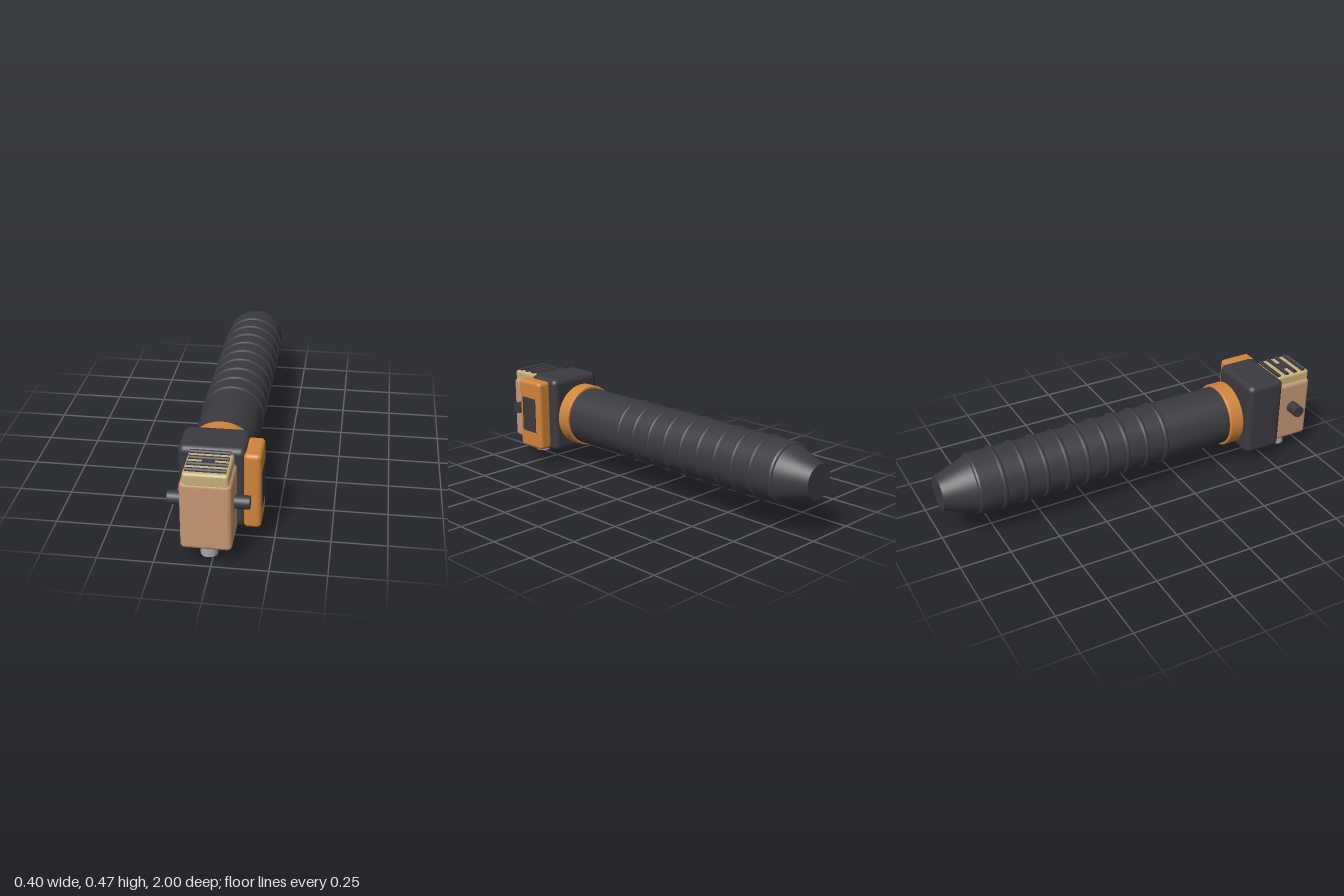
import * as THREE from 'three';
import { RoundedBoxGeometry } from 'three/addons/geometries/RoundedBoxGeometry.js';
import { toCreasedNormals } from 'three/addons/utils/BufferGeometryUtils.js';

const CX = -0.021, CY = 0.273; // common axis of the tool

export function createModel() {
  const group = new THREE.Group();
  const mat = (name, color) => {
    const m = new THREE.MeshStandardMaterial({ color });
    m.name = name;
    return m;
  };
  const dark = mat('charcoal', 0x3b3a3f);
  const orange = mat('orange', 0xd1843a);
  const tan = mat('tan', 0xc69873);
  const sand = mat('sand', 0xc6b078);
  const grey = mat('grey', 0xa6a6a8);

  const add = (name, geometry, material, x, y, z) => {
    const mesh = new THREE.Mesh(geometry, material);
    mesh.name = name;
    mesh.position.set(x, y, z);
    group.add(mesh);
    return mesh;
  };
  // Rounded block given by its min and max corners
  const block = (name, material, [x0, y0, z0], [x1, y1, z1], r) =>
    add(name, new RoundedBoxGeometry(x1 - x0, y1 - y0, z1 - z0, 4, r), material,
      (x0 + x1) / 2, (y0 + y1) / 2, (z0 + z1) / 2);
  // Solid of revolution along z from [radius, z] points, ordered back to front
  const turned = (name, material, points) => {
    const lathe = new THREE.LatheGeometry(points.map(([r, z]) => new THREE.Vector2(r, z)), 48);
    lathe.rotateX(Math.PI / 2);
    return add(name, toCreasedNormals(lathe, 0.4), material, CX, CY, 0);
  };

  // Handle with tapered end
  turned('handle', dark, [[0, -1], [0.082, -1], [0.136, -0.847], [0.143, -0.843],
    [0.147, -0.834], [0.147, 0.5], [0, 0.5]]);

  // Grip rings
  for (let i = 0; i < 9; i++) {
    add('gripRing', new THREE.TorusGeometry(0.142, 0.013, 10, 48), dark, CX, CY, 0.126 - i * 0.1058);
  }

  // Collar at the front of the handle
  turned('collar', orange, [[0, 0.492], [0.155, 0.492], [0.16, 0.497],
    [0.16, 0.563], [0.155, 0.568], [0, 0.568]]);

  // Main housing and side panel with its inset screen
  block('housing', dark, [-0.17, 0.075, 0.604], [0.128, 0.469, 0.805], 0.03);
  block('sidePanel', orange, [0.117, 0.088, 0.65], [0.195, 0.456, 0.82], 0.02);
  add('screen', new THREE.BoxGeometry(0.006, 0.185, 0.104), dark, 0.194, 0.272, 0.739);

  // Front head and its cap
  block('head', tan, [-0.132, 0.081, 0.803], [0.091, 0.41, 1], 0.022);
  block('headCap', sand, [-0.118, 0.39, 0.806], [0.079, 0.455, 0.997], 0.014);

  // Ribs across the cap, with a small button between them
  for (let i = 0; i < 4; i++) {
    const rib = add('capRib', new THREE.CylinderGeometry(0.01, 0.01, 0.174, 16), dark,
      CX, 0.458, 0.818 + i * 0.0495);
    rib.rotation.z = Math.PI / 2;
  }
  add('capButton', new THREE.BoxGeometry(0.054, 0.008, 0.04), dark, CX, 0.455, 0.892);

  // Cross rod and bottom pin
  const rod = add('crossRod', new THREE.CylinderGeometry(0.03, 0.03, 0.355, 32), dark, CX, CY - 0.002, 0.895);
  rod.rotation.z = Math.PI / 2;
  add('bottomPin', new THREE.CylinderGeometry(0.039, 0.039, 0.1, 32), grey, CX, 0.05, 0.895);

  return group;
}
